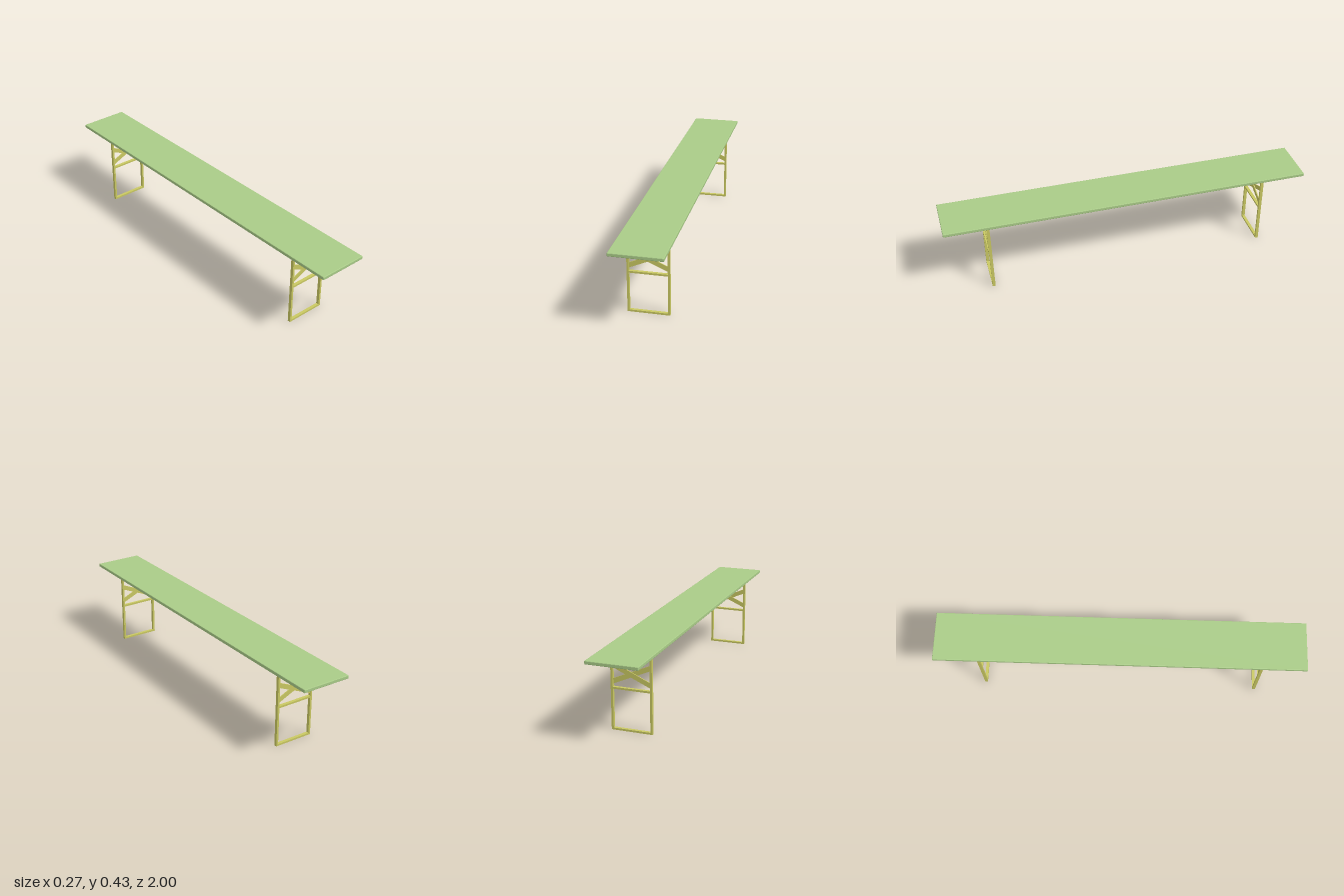
import * as THREE from 'three';
import { RoundedBoxGeometry } from 'three/addons/geometries/RoundedBoxGeometry.js';

const topY = 0.427, topThickness = 0.018, underside = topY - topThickness;
const legX = 0.103, legWidth = 0.011, legDepth = 0.016, innerX = legX - legWidth / 2;

export function createModel() {
  const model = new THREE.Group();
  model.name = 'bench';
  const green = new THREE.MeshStandardMaterial({ color: 0xa9cb87, flatShading: true });
  const olive = new THREE.MeshStandardMaterial({ color: 0xc9c862, flatShading: true });

  const add = (parent, name, geometry, material, x, y, z) => {
    const mesh = new THREE.Mesh(geometry, material);
    mesh.name = name;
    mesh.position.set(x, y, z);
    parent.add(mesh);
    return mesh;
  };

  // Long plank with slightly softened edges
  add(model, 'benchTop', new RoundedBoxGeometry(0.27, topThickness, 2, 1, 0.003), green, 0, topY - topThickness / 2, 0);

  // Diagonal slat with vertical ends that meet the legs
  const braceGeometry = (slope) => {
    const mid = 0.296, rise = 0.043 * slope, half = 0.0135, thickness = 0.005;
    const shape = new THREE.Shape([
      new THREE.Vector2(-innerX, mid - rise - half),
      new THREE.Vector2(innerX, mid + rise - half),
      new THREE.Vector2(innerX, mid + rise + half),
      new THREE.Vector2(-innerX, mid - rise + half),
    ]);
    return new THREE.ExtrudeGeometry(shape, { depth: thickness, bevelEnabled: false });
  };

  // One leg frame, outer side facing +z
  const buildLegFrame = (name) => {
    const frame = new THREE.Group();
    frame.name = name;
    for (const [side, legName] of [[1, 'leftLeg'], [-1, 'rightLeg']]) {
      add(frame, legName, new THREE.BoxGeometry(legWidth, underside, legDepth), olive, side * legX, underside / 2, 0);
    }
    add(frame, 'footBar', new THREE.BoxGeometry(innerX * 2, 0.01, legDepth), olive, 0, 0.005, 0);
    add(frame, 'crossBar', new THREE.BoxGeometry(innerX * 2, 0.01, legDepth), olive, 0, 0.22, 0);
    add(frame, 'outerBrace', braceGeometry(-1), olive, 0, 0, 0);
    add(frame, 'innerBrace', braceGeometry(1), olive, 0, 0, -0.005);
    return frame;
  };

  const frontFrame = buildLegFrame('frontLegFrame');
  frontFrame.position.z = 0.766;
  const backFrame = buildLegFrame('backLegFrame');
  backFrame.position.z = -0.766;
  backFrame.rotation.y = Math.PI;
  model.add(frontFrame, backFrame);

  return model;
}
